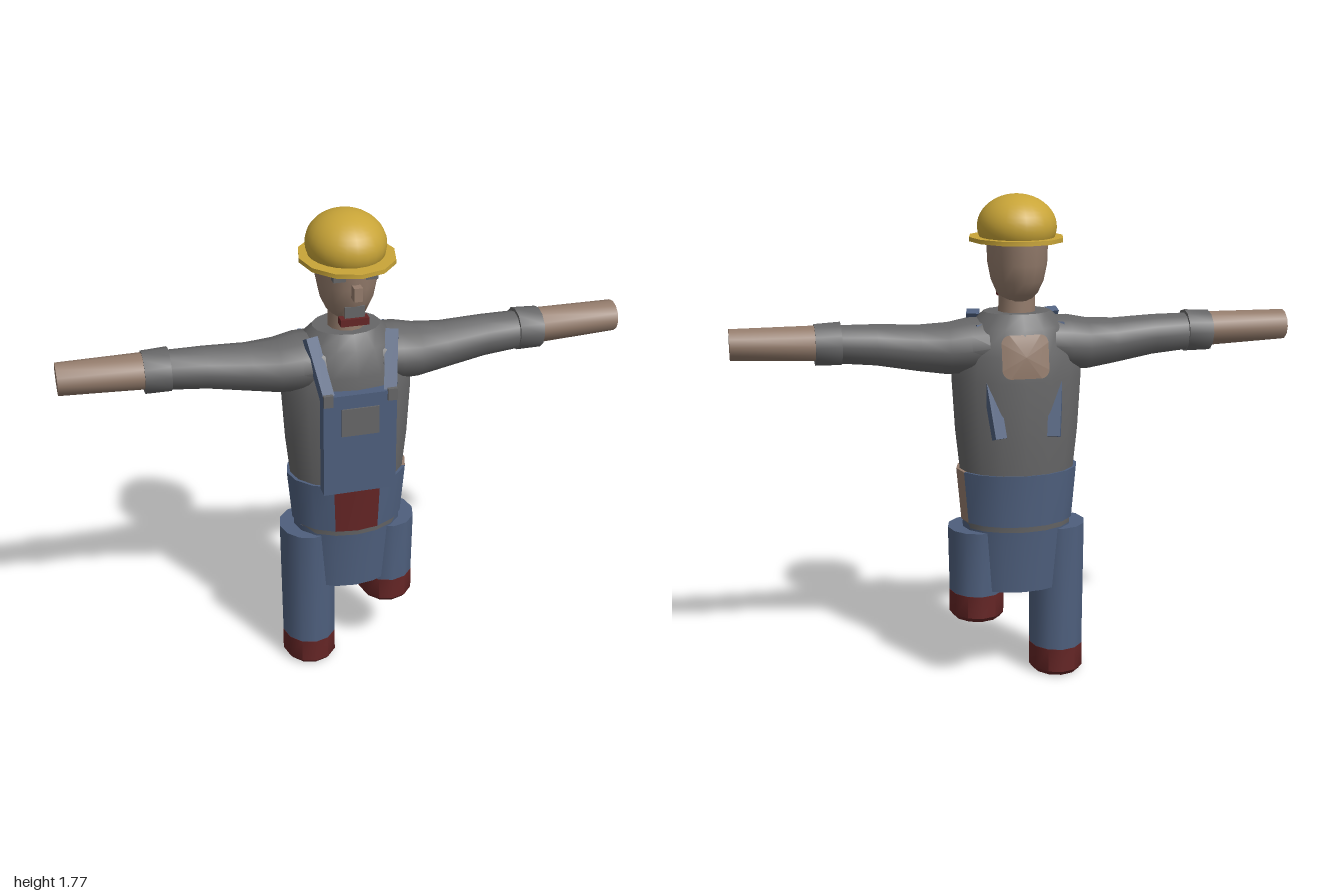
import * as THREE from 'three';
import { toCreasedNormals } from 'three/addons/utils/BufferGeometryUtils.js';

const PI = Math.PI;
const paint = (name, color) => {
  const m = new THREE.MeshStandardMaterial({ color });
  m.name = name;
  return m;
};

// Stacked ellipses along y. Section: [y, radiusX, radiusZ, centreZ, centreX]
function loft(sections, n = 16, a0 = 0, a1 = PI * 2) {
  const pos = [], idx = [], row = n + 1;
  for (const [y, rx, rz, cz = 0, cx = 0] of sections)
    for (let i = 0; i <= n; i++) {
      const a = a0 + (a1 - a0) * i / n;
      pos.push(cx + rx * Math.sin(a), y, cz + rz * Math.cos(a));
    }
  for (let j = 0; j < sections.length - 1; j++)
    for (let i = 0; i < n; i++) {
      const p = j * row + i, q = p + row;
      idx.push(p, p + 1, q + 1, p, q + 1, q);
    }
  const last = (sections.length - 1) * row;
  [[0, sections[0], true], [last, sections.at(-1), false]].forEach(([start, s, low]) => {
    const c = pos.length / 3;
    pos.push(s[4] ?? 0, s[0], s[3] ?? 0);
    for (let i = 0; i < n; i++)
      idx.push(c, start + i + (low ? 1 : 0), start + i + (low ? 0 : 1));
  });
  const g = new THREE.BufferGeometry();
  g.setAttribute('position', new THREE.Float32BufferAttribute(pos, 3));
  g.setIndex(idx);
  return toCreasedNormals(g, 0.7);
}

export function createModel() {
  const yellow = paint('helmetYellow', 0xc9a538);
  const skin = paint('skinTan', 0x937b6b);
  const denim = paint('denimBlue', 0x4e5f7d);
  const grey = paint('shirtGrey', 0x666667);
  const red = paint('darkRed', 0x642525);

  const model = new THREE.Group();
  model.name = 'worker';
  const add = (name, geo, mat) => {
    const m = new THREE.Mesh(geo, mat);
    m.name = name;
    model.add(m);
    return m;
  };
  const box = (name, mat, w, h, d, x, y, z) =>
    add(name, new THREE.BoxGeometry(w, h, d), mat).position.set(x, y, z);

  // Helmet
  const dome = new THREE.SphereGeometry(1, 24, 14, 0, PI * 2, 0, PI * 0.66);
  dome.scale(0.138, 0.112, 0.158);
  add('helmetDome', dome, yellow).position.set(0, 1.655, -0.012);
  add('helmetBrim', loft([[1.605, 0.167, 0.196], [1.62, 0.167, 0.196]], 12), yellow);

  // Head and face
  add('head', loft([
    [1.40, 0.05, 0.065, -0.012], [1.425, 0.072, 0.095, -0.012], [1.47, 0.092, 0.122, -0.014],
    [1.53, 0.104, 0.136, -0.015], [1.62, 0.107, 0.14, -0.015],
  ]), skin);
  add('neck', loft([[1.34, 0.067, 0.07, -0.01], [1.43, 0.065, 0.068, -0.01]], 12), skin);
  box('nose', skin, 0.03, 0.048, 0.05, 0, 1.529, 0.127);
  box('chin', skin, 0.07, 0.035, 0.04, 0, 1.447, 0.08);
  box('chinPatch', grey, 0.07, 0.04, 0.008, 0, 1.449, 0.103);
  box('mouth', red, 0.1, 0.025, 0.038, 0, 1.413, 0.093);
  for (const s of [1, -1]) box('eye', grey, 0.042, 0.032, 0.03, s * 0.056, 1.582, 0.102);

  // Shirt body
  add('shirtBody', loft([
    [0.60, 0.19, 0.145, -0.01], [0.80, 0.21, 0.16, -0.01], [0.94, 0.225, 0.164, -0.01],
    [1.13, 0.236, 0.163, -0.01], [1.22, 0.225, 0.156, -0.01], [1.31, 0.175, 0.135, -0.01],
    [1.36, 0.12, 0.1, -0.01],
  ]), grey);

  // Rounded patch wrapped over the back
  const w = 0.083, h = 0.075, r = 0.03, outline = new THREE.Shape();
  outline.absarc(w - r, h - r, r, 0, PI / 2);
  outline.absarc(r - w, h - r, r, PI / 2, PI);
  outline.absarc(r - w, r - h, r, PI, PI * 1.5);
  outline.absarc(w - r, r - h, r, PI * 1.5, PI * 2);
  const ring = outline.getPoints(6), cells = [], tris = [], steps = 5;
  ring.forEach((p) => {
    for (let k = 0; k <= steps; k++) {
      const x = p.x * k / steps, y = 1.22 + p.y * k / steps;
      const t = Math.abs(y - 1.22) / 0.09;
      const rx = y > 1.22 ? 0.225 - 0.05 * t : 0.225 + 0.011 * t;
      const rz = y > 1.22 ? 0.156 - 0.021 * t : 0.156 + 0.007 * t;
      cells.push(x, y, -0.015 - rz * Math.sqrt(1 - (x / rx) ** 2));
    }
  });
  for (let i = 0; i < ring.length; i++)
    for (let k = 0; k < steps; k++) {
      const p = i * (steps + 1) + k, q = ((i + 1) % ring.length) * (steps + 1) + k;
      tris.push(p, q + 1, p + 1, p, q, q + 1);
    }
  const patch = new THREE.BufferGeometry();
  patch.setAttribute('position', new THREE.Float32BufferAttribute(cells, 3));
  patch.setIndex(tris);
  patch.computeVertexNormals();
  add('backPatch', patch, skin);

  // Waistband, with a red front panel and a tan panel on the left side
  const waist = [[0.605, 0.205, 0.158, -0.009], [0.795, 0.222, 0.165, -0.009]];
  const e = PI / 8;
  add('waistFrontPanel', loft(waist, 2, -e, e), red);
  add('waistFrontLeft', loft(waist, 2, e, 3 * e), denim);
  add('waistSidePanel', loft(waist, 2, 3 * e, 5 * e), skin);
  add('waistBack', loft(waist, 10, 5 * e, 15 * e), denim);
  add('belt', loft([[0.583, 0.198, 0.15, -0.008], [0.61, 0.2, 0.153, -0.008]]), grey);

  // Pelvis
  add('pelvis', loft([
    [0.35, 0.185, 0.13, -0.006], [0.53, 0.198, 0.141, -0.006], [0.598, 0.2, 0.146, -0.006],
  ]), denim);

  // Bib with pocket
  box('bib', denim, 0.262, 0.385, 0.05, 0, 0.983, 0.155);
  box('bibPocket', grey, 0.134, 0.105, 0.008, 0, 1.072, 0.181);

  // Flat strap between two points
  const strap = (name, from, to) => {
    const a = new THREE.Vector3(...from), b = new THREE.Vector3(...to);
    const m = add(name, new THREE.BoxGeometry(0.045, 0.028, a.distanceTo(b)), denim);
    m.position.copy(a).add(b).multiplyScalar(0.5);
    m.lookAt(b);
  };

  for (const s of [1, -1]) {
    strap('frontStrap', [s * 0.112, 1.165, 0.163], [s * 0.145, 1.35, 0.06]);
    strap('backStrap', [s * 0.14, 1.32, -0.06], [s * 0.097, 0.937, -0.178]);
    box('strapButton', grey, 0.034, 0.044, 0.014, s * 0.114, 1.163, 0.181);

    // Arm sections: [distance from centre, centre y, radius y, radius z]
    const limb = (name, mat, list) => add(name, loft(list.map(
      ([d, y, ry, rz]) => [d, ry, rz, -0.006, -s * y]), 12).rotateZ(-s * PI / 2), mat);
    limb('sleeve', grey, [
      [0.10, 1.25, 0.09, 0.125], [0.18, 1.24, 0.1, 0.125], [0.25, 1.233, 0.093, 0.112],
      [0.35, 1.238, 0.083, 0.09], [0.5, 1.255, 0.073, 0.077], [0.64, 1.262, 0.067, 0.07],
    ]);
    limb('cuff', grey, [[0.622, 1.265, 0.076, 0.078], [0.712, 1.263, 0.073, 0.077]]);
    limb('forearm', skin, [[0.69, 1.268, 0.063, 0.068], [1.0, 1.274, 0.055, 0.061]]);

    // Leg and boot; the left leg is raised
    const y = s > 0 ? 0.235 : 0, x = s * 0.15, top = s > 0 ? 0.335 : 0.105;
    add('leg', loft([[top, 0.1, 0.114, -0.004, x], [0.575, 0.104, 0.116, -0.004, x]], 12), denim);
    add('boot', loft([
      [y, 0.088, 0.1, -0.004, x], [y + 0.018, 0.101, 0.117, -0.004, x],
      [top, 0.101, 0.115, -0.004, x],
    ], 12), red);
  }
  return model;
}
